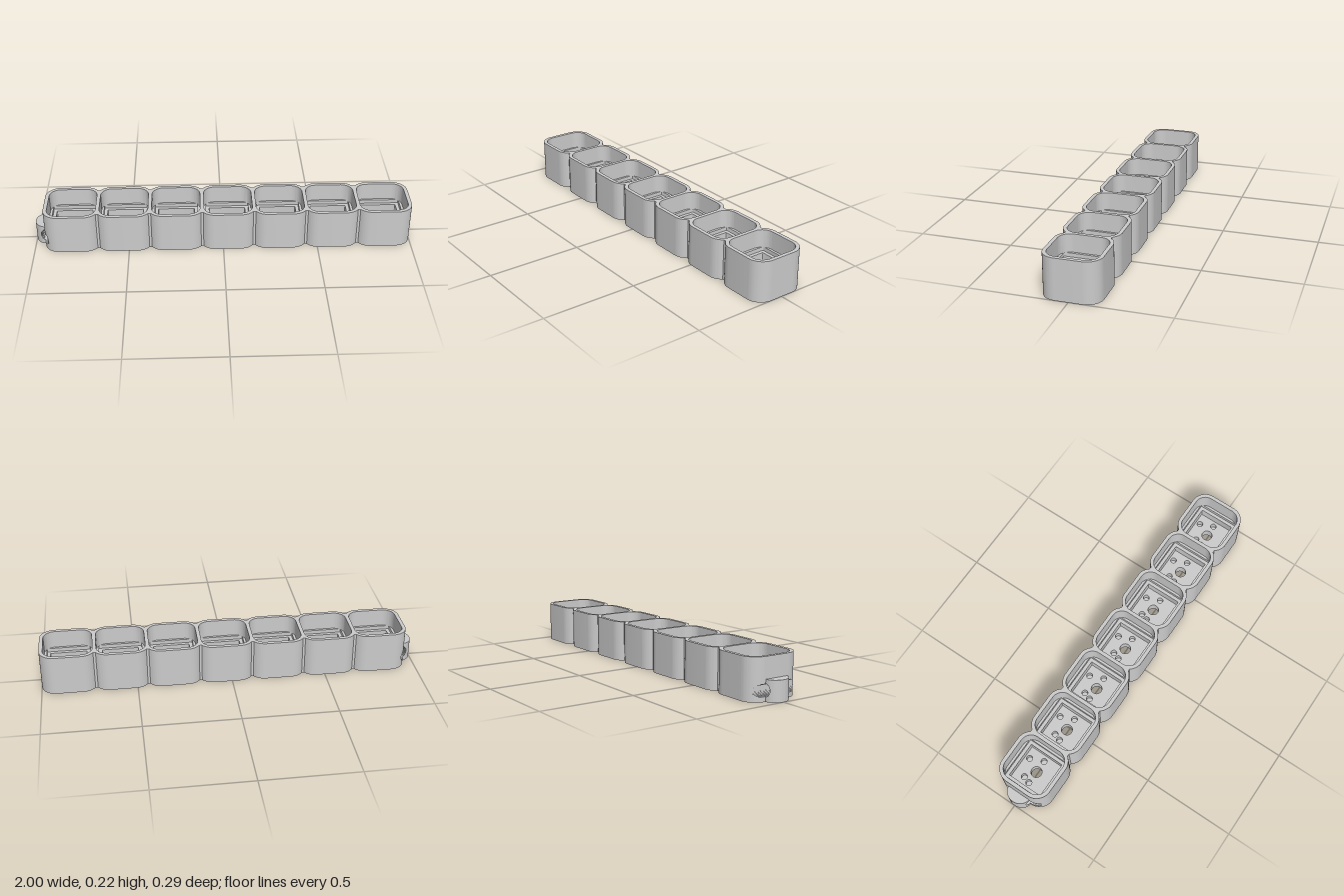
import * as THREE from 'three';
import { mergeGeometries, toCreasedNormals } from 'three/addons/utils/BufferGeometryUtils.js';

const COUNT = 7, PITCH = 0.2753, HALF = 0.1475, R = 0.08, HEIGHT = 0.215;
const centers = Array.from({ length: COUNT }, (_, i) => 1 - HALF - (COUNT - 1 - i) * PITCH);
const LEFT = centers[0] - HALF;
// Cross tunnel at the left end: centre height, half height, half width
const TUNNEL = { y: 0.055, h: 0.03, w: 0.023 };

// Scalloped outline of the whole row; everything left of clipX is cut flat
function rowOutline(clipX) {
  const path = new THREE.Path();
  const k = HALF - R, notch = 0.65;
  const corner = (cx, sx, sy, from, to) => path.absarc(cx + sx * k, sy * k, R, from, to, false);
  centers.forEach((cx, i) => { // one long side, left to right
    corner(cx, -1, -1, Math.PI + (i ? notch : 0), Math.PI * 1.5);
    corner(cx, 1, -1, Math.PI * 1.5, Math.PI * 2 - (i < COUNT - 1 ? notch : 0));
  });
  for (let i = COUNT - 1; i >= 0; i--) { // the other side, back again
    corner(centers[i], 1, 1, i < COUNT - 1 ? notch : 0, Math.PI / 2);
    corner(centers[i], -1, 1, Math.PI / 2, Math.PI - (i ? notch : 0));
  }
  return new THREE.Shape(path.getPoints(10).map(p => new THREE.Vector2(Math.max(p.x, clipX), p.y)));
}

function circle(x, y, r) {
  return new THREE.Path().absarc(x, y, r, 0, Math.PI * 2, true);
}

function roundedSquare(cx, half, r) {
  const p = new THREE.Path(), k = half - r;
  [[1, 1], [-1, 1], [-1, -1], [1, -1]].forEach(([sx, sy], i) =>
    p.absarc(cx + sx * k, sy * k, r, i * Math.PI / 2, (i + 1) * Math.PI / 2, false));
  return p;
}

// Openings of one socket at a given height
function openings(cx, y) {
  if (y > 0.12) return [roundedSquare(cx, 0.128, 0.06)];
  if (y > 0.10) return [roundedSquare(cx, 0.115, 0.003)];
  if (y > 0.05) return [roundedSquare(cx, 0.097, 0.003)];
  const list = [circle(cx, 0, 0.029)];
  if (y > 0.015) {
    for (const [px, py] of [[-0.068, 0], [0.068, 0], [-0.055, 0.038], [0.039, 0.072]]) {
      list.push(circle(cx + px, py, 0.016));
    }
  }
  return list;
}

// Horizontal slab between two heights
function slab(shape, y0, y1) {
  const g = new THREE.ExtrudeGeometry(shape, { depth: y1 - y0, bevelEnabled: false, curveSegments: 10 });
  return g.rotateX(-Math.PI / 2).translate(0, y0, 0);
}

function tunnelHalfWidth(y) {
  const t = (y - TUNNEL.y) / TUNNEL.h;
  return Math.abs(t) < 1 ? TUNNEL.w * Math.sqrt(1 - t * t) : 0;
}

function joined(parts, name, material) {
  const mesh = new THREE.Mesh(toCreasedNormals(mergeGeometries(parts), 0.6), material);
  mesh.name = name;
  return mesh;
}

export function createModel() {
  const group = new THREE.Group();
  group.name = 'socketRow';
  const material = new THREE.MeshStandardMaterial({ color: 0xcccccc });

  // Heights where a cross-section changes, with fine steps through the tunnel
  const tunnelSteps = Array.from({ length: 13 }, (_, i) => 0.025 + i * 0.005);
  const bodyLevels = [0, 0.015, ...tunnelSteps, 0.10, 0.12, HEIGHT];
  const tabLevels = [0, ...tunnelSteps, 0.107];

  // Row of sockets: floor, stepped square pockets and rounded cups
  const body = [];
  for (let i = 0; i < bodyLevels.length - 1; i++) {
    const [y0, y1] = [bodyLevels[i], bodyLevels[i + 1]];
    const mid = (y0 + y1) / 2, w = tunnelHalfWidth(mid);
    const shape = rowOutline(w ? LEFT + w : -2);
    shape.holes = centers.flatMap(cx => openings(cx, mid));
    body.push(slab(shape, y0, y1));
  }
  group.add(joined(body, 'socketBody', material));

  // Half-round loop on the left end, pierced by the tunnel
  const tab = [];
  for (let i = 0; i < tabLevels.length - 1; i++) {
    const [y0, y1] = [tabLevels[i], tabLevels[i + 1]];
    const w = tunnelHalfWidth((y0 + y1) / 2);
    const limit = w ? LEFT - w : LEFT + 0.005;
    const arc = new THREE.Path().absellipse(LEFT + 0.005, 0, 1 + LEFT + 0.005, 0.065, Math.PI / 2, Math.PI * 1.5, false, 0);
    const pts = arc.getPoints(16).filter(p => p.x < limit);
    // Close the slice flat against the tunnel
    const edge = 0.065 * Math.sqrt(Math.max(0, 1 - ((limit - LEFT - 0.005) / (1 + LEFT + 0.005)) ** 2));
    pts.unshift(new THREE.Vector2(limit, edge));
    pts.push(new THREE.Vector2(limit, -edge));
    tab.push(slab(new THREE.Shape(pts), y0, y1));
  }
  group.add(joined(tab, 'endLoop', material));

  return group;
}
